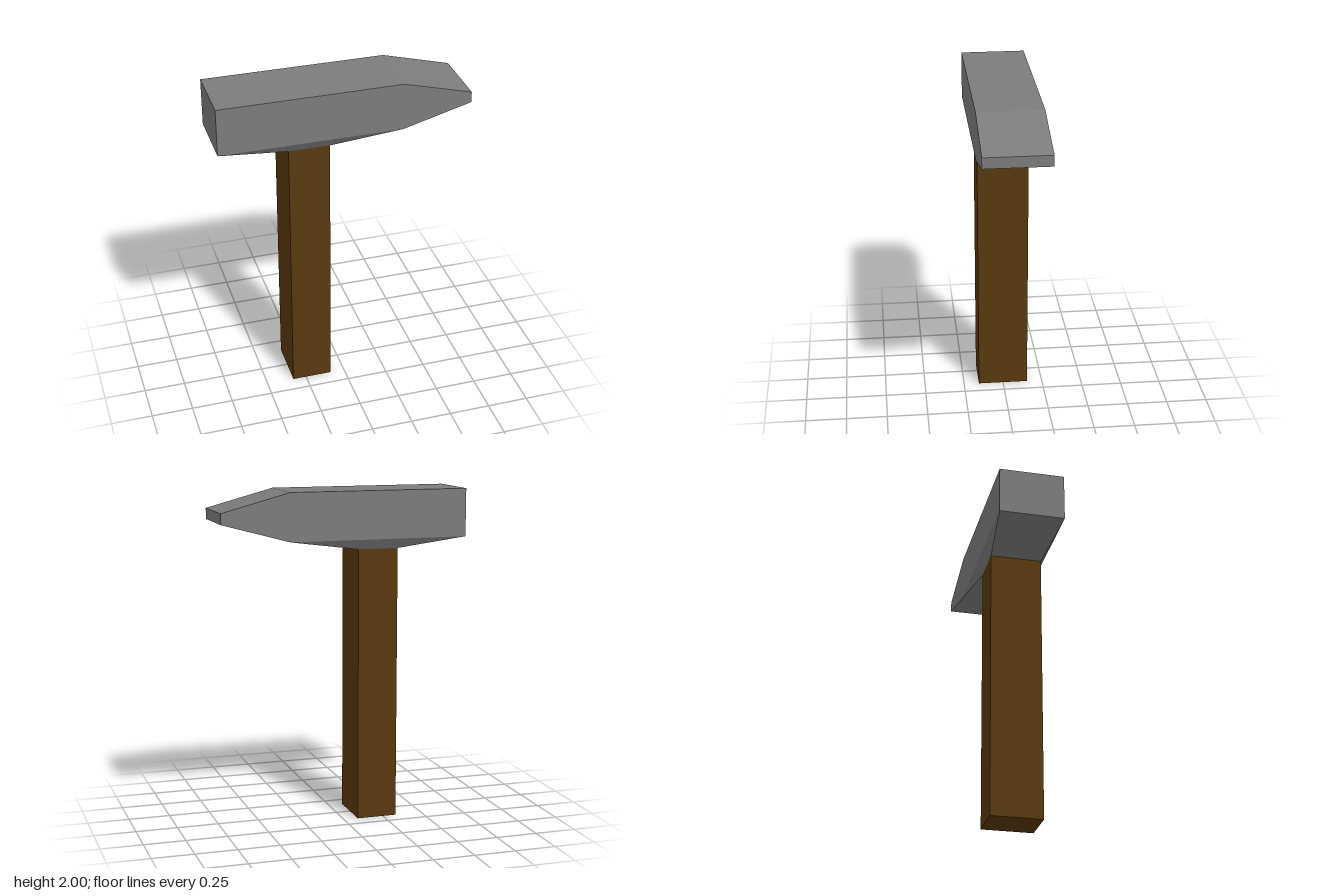
import * as THREE from 'three';
import { ConvexGeometry } from 'three/addons/geometries/ConvexGeometry.js';

export function createModel() {
  const group = new THREE.Group();
  const steel = new THREE.MeshStandardMaterial({ color: 0x7c7c7c });
  steel.name = 'grey steel';
  const wood = new THREE.MeshStandardMaterial({ color: 0x59390f });
  wood.name = 'brown wood';

  // Square wooden handle, set off-centre under the head
  const handle = new THREE.Mesh(new THREE.BoxGeometry(0.245, 1.66, 0.31), wood);
  handle.name = 'handle';
  handle.position.set(-0.21, 0.83, 0);
  group.add(handle);

  // Faceted head: side outline [x, y, half depth], mirrored in z,
  // with the underside narrowing to a collar around the handle
  const outline = [
    [-0.75, 2, 0.195], [0.34, 2, 0.195],
    [0.75, 1.89, 0.195], [0.75, 1.825, 0.195],
    [0.34, 1.713, 0.195], [-0.75, 1.713, 0.195],
    [-0.333, 1.653, 0.155], [-0.087, 1.653, 0.155],
  ];
  const points = outline.flatMap(([x, y, z]) => [
    new THREE.Vector3(x, y, z), new THREE.Vector3(x, y, -z),
  ]);
  const head = new THREE.Mesh(new ConvexGeometry(points), steel);
  head.name = 'head';
  group.add(head);

  return group;
}
